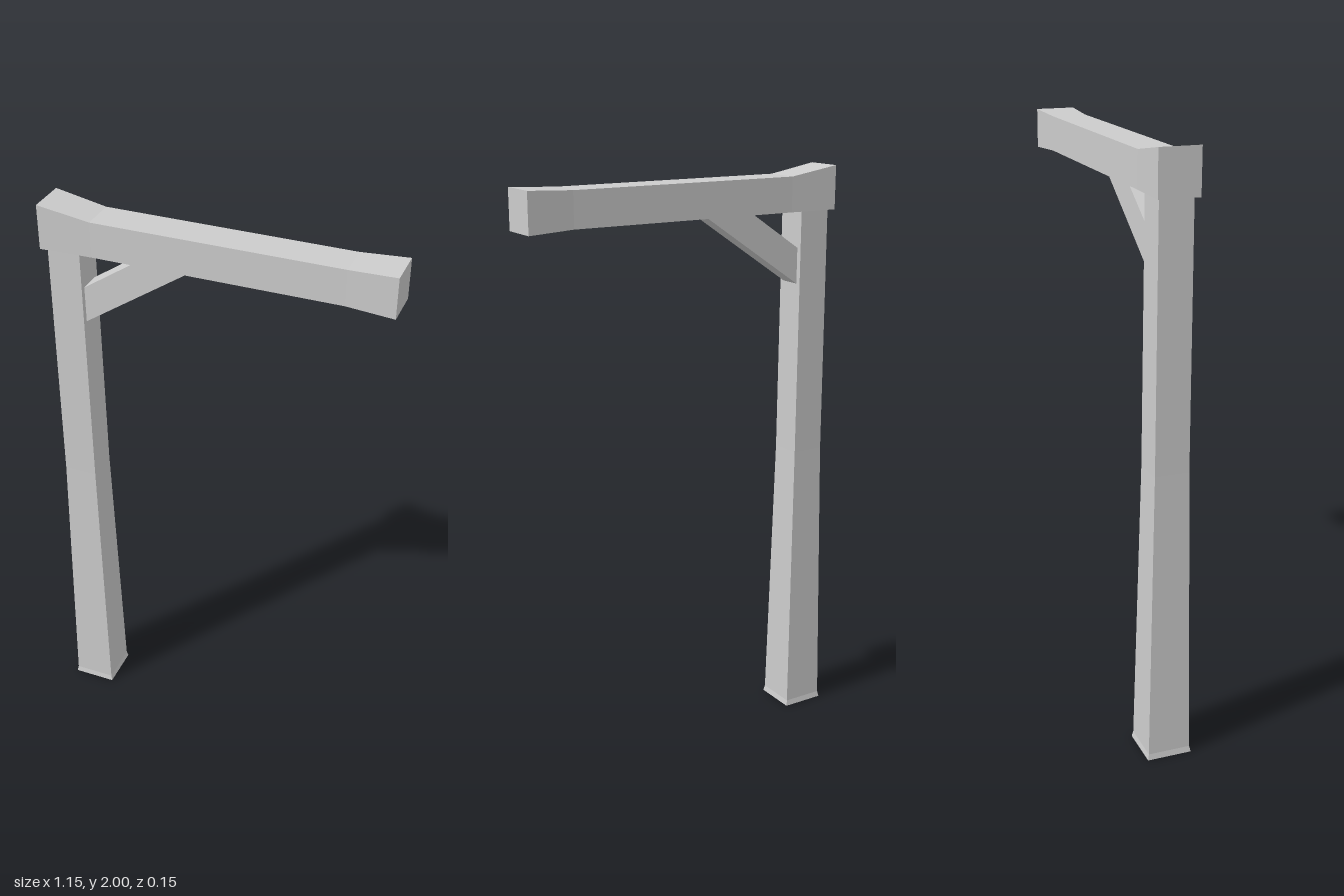
import * as THREE from 'three';

const material = new THREE.MeshStandardMaterial({ color: 0xcccccc, flatShading: true, side: THREE.DoubleSide });

// Joins four-cornered sections (counter-clockwise seen from the sweep's end) into a flat-faced solid
function loft(sections, capped) {
  const pos = [];
  const quad = (a, b, c, d) => pos.push(...a, ...b, ...c, ...a, ...c, ...d);
  for (let s = 0; s < sections.length - 1; s++) {
    const p = sections[s], q = sections[s + 1];
    for (let i = 0; i < 4; i++) {
      const j = (i + 1) % 4;
      quad(p[i], p[j], q[j], q[i]);
    }
  }
  if (capped) {
    const [a, b, c, d] = sections[0];
    quad(d, c, b, a);
    quad(...sections[sections.length - 1]);
  }
  const geometry = new THREE.BufferGeometry();
  geometry.setAttribute('position', new THREE.Float32BufferAttribute(pos, 3));
  geometry.computeVertexNormals();
  return geometry;
}

export function createModel() {
  const group = new THREE.Group();
  const add = (name, geometry) => {
    const mesh = new THREE.Mesh(geometry, material);
    mesh.name = name;
    group.add(mesh);
  };

  // Square post, tapering up to mid height, open underneath: [y, half width]
  const postX = -0.5;
  const post = [[0, 0.076], [0.02, 0.072], [1, 0.057], [1.855, 0.055]].map(([y, r]) => [
    [postX - r, y, r], [postX + r, y, r], [postX + r, y, -r], [postX - r, y, -r],
  ]);
  add('post', loft(post, false));

  // Beam with flared ends: [x, bottom, top, half depth]
  const beam = [
    [-0.576, 1.852, 2, 0.067],
    [-0.4, 1.852, 1.97, 0.06],
    [0.42, 1.852, 1.97, 0.06],
    [0.576, 1.844, 1.977, 0.067],
  ].map(([x, y0, y1, r]) => [[x, y0, r], [x, y0, -r], [x, y1, -r], [x, y1, r]]);
  add('beam', loft(beam, true));

  // Diagonal brace between post and beam
  const outline = [[-0.445, 1.604], [-0.075, 1.853], [-0.257, 1.853], [-0.445, 1.727]];
  const shape = new THREE.Shape(outline.map(([x, y]) => new THREE.Vector2(x, y)));
  const brace = new THREE.ExtrudeGeometry(shape, { depth: 0.074, bevelEnabled: false });
  add('brace', brace.translate(0, 0, -0.037));

  return group;
}
